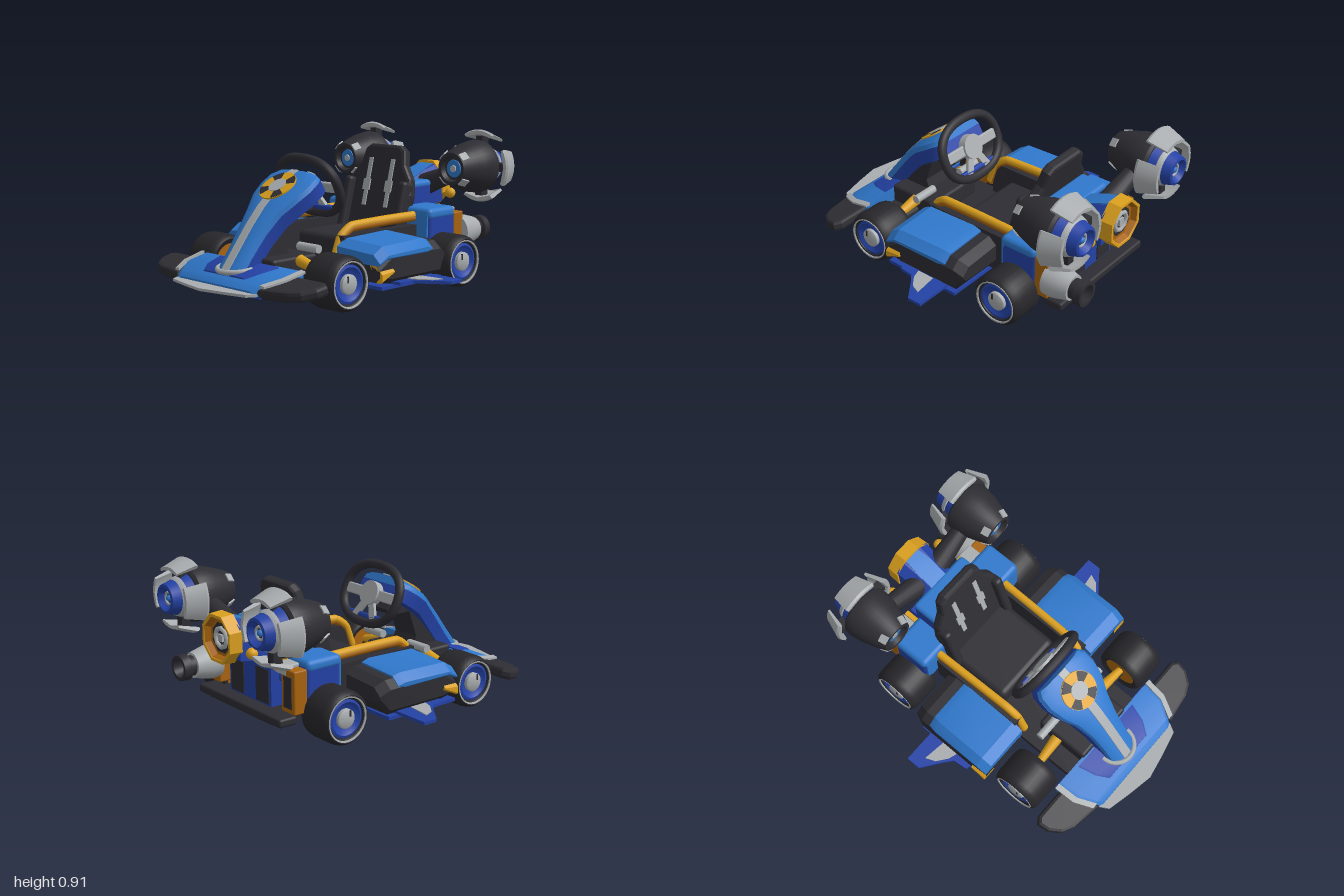
import * as THREE from 'three';
import { toCreasedNormals } from 'three/addons/utils/BufferGeometryUtils.js';
import { RoundedBoxGeometry } from 'three/addons/geometries/RoundedBoxGeometry.js';

const paint = (name, color) => { const m = new THREE.MeshStandardMaterial({ color }); m.name = name; return m; };
const BLUE = paint('bright blue', 0x2f78cc), DEEP = paint('deep blue', 0x2442a6), GOLD = paint('gold', 0xdca01e),
  ORANGE = paint('burnt orange', 0xa8640f), SILVER = paint('silver', 0xa9adaf), DARK = paint('charcoal', 0x2d2d33), TYRE = paint('tyre black', 0x27272b);

// Mirror a geometry across x = 0, keeping its faces outward
function mirrored(geo) {
  const g = geo.index ? geo.toNonIndexed() : geo.clone();
  for (const key of ['position', 'normal']) {
    const a = g.attributes[key];
    for (let i = 0; i < a.count; i += 3) {
      const p = [a.getX(i), a.getY(i), a.getZ(i)];
      a.setXYZ(i, a.getX(i + 2), a.getY(i + 2), a.getZ(i + 2));
      a.setXYZ(i + 2, ...p);
    }
  }
  return g.scale(-1, 1, 1);
}
// Skin closed rings, counterclockwise as seen from the last ring
function loft(rings, crease = 0.6) {
  const n = rings[0].length, pos = rings.flat(), idx = [], last = (rings.length - 1) * n;
  for (let i = 0; i < rings.length - 1; i++) for (let j = 0; j < n; j++) {
    const a = i * n + j, b = i * n + (j + 1) % n;
    idx.push(a, b, a + n, b, b + n, a + n);
  }
  const mid = r => [0, 1, 2].map(k => r.reduce((s, p) => s + p[k], 0) / n);
  pos.push(mid(rings[0]), mid(rings[rings.length - 1]));
  for (let j = 0; j < n; j++) {
    const k = (j + 1) % n;
    idx.push(pos.length - 2, k, j, pos.length - 1, last + j, last + k);
  }
  const g = new THREE.BufferGeometry();
  g.setAttribute('position', new THREE.Float32BufferAttribute(pos.flat(), 3));
  g.setIndex(idx);
  g.computeVertexNormals();
  return toCreasedNormals(g, crease);
}
const extrude = (pts, depth, bevel = 0) => new THREE.ExtrudeGeometry(new THREE.Shape(pts.map(p => new THREE.Vector2(...p))), {
  depth, bevelEnabled: bevel > 0, bevelSize: bevel, bevelThickness: bevel, bevelOffset: -bevel, bevelSegments: 2 });
// Flat plate from [x, z] points
const plate = (pts, top, h, bevel = 0) => extrude(pts, h - 2 * bevel, bevel).rotateX(Math.PI / 2).translate(0, top - bevel, 0);
// Centred slab from a [z, y] side profile
const slab = (pts, w) => extrude(pts, w).rotateY(-Math.PI / 2).translate(w / 2, 0, 0);
const box = (w, h, d, x, y, z, r = 0) => (r ? new RoundedBoxGeometry(w, h, d, 3, r) : new THREE.BoxGeometry(w, h, d)).translate(x, y, z);
const lathe = (pts, seg = 32) => toCreasedNormals(new THREE.LatheGeometry(pts.map(p => new THREE.Vector2(...p)), seg), 0.7);
const tube = (pts, r) => new THREE.TubeGeometry(new THREE.CatmullRomCurve3(pts.map(p => new THREE.Vector3(...p)), false, 'catmullrom', 0.15), 30, r, 10);
// Tapered rod between two points
function rod(a, b, r0, r1 = r0) {
  const A = new THREE.Vector3(...a), B = new THREE.Vector3(...b), d = B.clone().sub(A);
  const q = new THREE.Quaternion().setFromUnitVectors(new THREE.Vector3(0, 1, 0), d.clone().normalize());
  return new THREE.CylinderGeometry(r1, r0, d.length(), 16).applyQuaternion(q).translate(...A.add(B).multiplyScalar(0.5).toArray());
}

export function createModel() {
  const root = new THREE.Group();
  root.name = 'kart';
  const add = (name, geo, mat, parent = root) => { const m = new THREE.Mesh(geo, mat); m.name = name; parent.add(m); };
  const pair = (name, geo, mat) => { add(name + 'Left', geo, mat); add(name + 'Right', mirrored(geo), mat); };

  // Floor and tub
  add('floorPan', box(0.62, 0.05, 1.44, 0, 0.125, -0.08), DARK);
  add('rearBumper', box(0.8, 0.05, 0.12, 0, 0.135, -0.76, 0.015), DARK);
  add('footwell', box(0.4, 0.12, 0.34, 0, 0.2, 0.46, 0.02), DARK);
  pair('tubWall', box(0.06, 0.24, 0.62, 0.3, 0.24, -0.1), DARK);
  pair('floorHatch', box(0.12, 0.008, 0.1, 0.14, 0.099, -0.47), DEEP);

  // Wheels
  const spin = (pts, z) => lathe(pts).rotateZ(-Math.PI / 2).translate(0.495, 0.157, z);
  for (const [end, z] of [['front', 0.44], ['rear', -0.52]]) {
    pair(end + 'Tyre', spin([[0.1, -0.1], [0.135, -0.116], [0.15, -0.1], [0.156, -0.07], [0.156, 0.07], [0.15, 0.1], [0.135, 0.116], [0.114, 0.106], [0.104, 0.08]], z), TYRE);
    pair(end + 'RimRing', spin([[0.13, 0.108], [0.13, 0.118], [0.122, 0.116], [0.12, 0.1]], z), SILVER);
    pair(end + 'Rim', spin([[0.11, -0.05], [0.11, 0.1], [0.095, 0.105], [0.07, 0.085], [0, 0.085]], z), DEEP);
    pair(end + 'Hub', spin([[0.056, 0.08], [0.056, 0.105], [0.045, 0.112], [0, 0.112]], z), SILVER);
    pair(end + 'HubNotch', box(0.006, 0.035, 0.01, 0.607, 0.187, z + 0.02), DARK);
    pair(end + 'InnerRim', spin([[0, -0.102], [0.11, -0.102], [0.11, -0.05]], z), ORANGE);
    add(end + 'Axle', rod([-0.45, 0.157, z], [0.45, 0.157, z], 0.025), DARK);
  }
  // Front suspension
  pair('frontArm', rod([0.2, 0.235, 0.43], [0.4, 0.19, 0.44], 0.035, 0.022), GOLD);
  pair('damper', rod([0.12, 0.3, 0.36], [0.28, 0.3, 0.36], 0.025), SILVER);

  // Side pods with painted lids, gold corners and low wings
  const podRing = (x0, x1, y0, y1, z, s = 0.03) => [[x0, y0, z], [x1 - s, y0, z], [x1, y0 + s, z], [x1, y1 - 0.06, z], [x1 - 0.05, y1 - 0.015, z], [x0, y1, z]];
  pair('podBody', loft([podRing(0.34, 0.63, 0.2, 0.3, -0.31), podRing(0.33, 0.65, 0.125, 0.335, -0.25),
    podRing(0.33, 0.65, 0.125, 0.335, 0.15), podRing(0.33, 0.645, 0.14, 0.27, 0.25)], 0.4), DARK);
  pair('podLid', loft([podRing(0.32, 0.645, 0.27, 0.345, -0.19, 0.01), podRing(0.32, 0.656, 0.265, 0.36, -0.14, 0.01),
    podRing(0.32, 0.656, 0.265, 0.35, 0.19, 0.01), podRing(0.32, 0.65, 0.235, 0.31, 0.256, 0.01)], 0.4), BLUE);
  pair('podCorner', loft([podRing(0.6, 0.664, 0.185, 0.26, 0.15, 0.01), podRing(0.57, 0.664, 0.14, 0.25, 0.25, 0.01)]), GOLD);
  pair('podUnderplate', plate([[0.31, -0.26], [0.65, -0.26], [0.65, 0.24], [0.31, 0.24]], 0.12, 0.02), DEEP);
  pair('sideWing', plate([[0.6, -0.19], [0.86, -0.19], [0.86, -0.1], [0.75, -0.02], [0.69, 0.03], [0.68, 0.12], [0.6, 0.14]], 0.135, 0.018), DEEP);
  pair('wingPanel', plate([[0.64, -0.09], [0.79, -0.11], [0.765, -0.05], [0.7, 0.0], [0.64, 0.02]], 0.14, 0.006), SILVER);

  // Gold frame rails with a darker underside
  const rail = [[0.275, 0.22, 0.235], [0.28, 0.35, 0.19], [0.288, 0.408, 0.11], [0.295, 0.415, -0.2], [0.3, 0.415, -0.44]];
  pair('frameRail', tube(rail, 0.024), GOLD);
  pair('railUnderside', tube(rail.map(([x, y, z]) => [x + 0.003, y - 0.016, z]), 0.022), ORANGE);

  // Front spoiler
  const deck = (z, w, top) => [[-w, 0.115, z], [w, 0.115, z], [w, top - 0.02, z], [w - 0.04, top, z], [0.04 - w, top, z], [-w, top - 0.02, z]];
  add('spoilerDeck', loft([deck(0.62, 0.43, 0.23), deck(0.75, 0.42, 0.205), deck(0.85, 0.37, 0.165), deck(0.885, 0.33, 0.14)]), BLUE);
  add('spoilerInset', loft([deck(0.64, 0.28, 0.234), deck(0.75, 0.25, 0.212), deck(0.82, 0.2, 0.185)]), DEEP);
  add('spoilerUnderplate', plate([[-0.42, 0.6], [0.42, 0.6], [0.36, 0.87], [-0.36, 0.87]], 0.115, 0.012), DEEP);
  pair('spoilerEnd', plate([[0.38, 0.64], [0.63, 0.64], [0.67, 0.67], [0.66, 0.74], [0.61, 0.81], [0.54, 0.845], [0.34, 0.875]], 0.185, 0.065, 0.02)
    .translate(0, -0.15, -0.75).rotateX(0.22).translate(0, 0.15, 0.75), DARK);
  pair('spoilerTrim', loft([[0.62, 0.43, 0.22], [0.75, 0.42, 0.19], [0.86, 0.365, 0.16]].map(([z, x, y]) =>
    [[x - 0.02, y, z], [x + 0.015, y, z], [x + 0.015, y + 0.012, z], [x - 0.02, y + 0.018, z]])), SILVER);
  add('frontLip', plate([[-0.35, 0.86], [0.35, 0.86], [0.31, 0.93], [0.16, 0.965], [0, 0.995], [-0.16, 0.965], [-0.31, 0.93]], 0.13, 0.015), SILVER);

  // Nose fairing with a deep skirt: top line z, y and half width
  const line = [[0.275, 0.715, 0.175], [0.31, 0.7, 0.2], [0.38, 0.655, 0.205], [0.46, 0.6, 0.185], [0.54, 0.53, 0.14], [0.63, 0.43, 0.112], [0.72, 0.315, 0.1], [0.79, 0.225, 0.1], [0.825, 0.18, 0.085]];
  const half = [[1, 0.4], [0.93, 0.18], [0.7, 0.05], [0.35, 0]];
  const shell = ring => loft(line.map(([z, y, w]) => ring.map(([u, d]) => [u * w, y - d * 0.11, z - d * 0.075])));
  add('noseFairing', shell([...half, ...half.slice().reverse().map(([u, d]) => [-u, d])]), BLUE);
  add('noseSkirt', shell([[0.97, 1], [1, 0.38], [-1, 0.38], [-0.97, 1]]), DEEP);
  add('noseStripe', loft(line.map(([z, y]) => [[0.028, 0], [0.028, 0.005], [-0.028, 0.005], [-0.028, 0]].map(([x, o]) => [x, y + o, z + o * 0.8]))), SILVER);
  add('noseCore', slab([[0.2, 0.53], [0.28, 0.63], [0.46, 0.53], [0.62, 0.36], [0.74, 0.2], [0.4, 0.22], [0.44, 0.32], [0.38, 0.49], [0.24, 0.49]], 0.19), DARK);
  add('noseCollar', new THREE.TorusGeometry(0.115, 0.015, 8, 20, Math.PI).rotateX(Math.PI / 2 + 0.12).translate(0, 0.21, 0.715), SILVER);
  // Round nose badge in plain wedges
  const badge = new THREE.Group();
  badge.name = 'noseBadge';
  badge.position.set(0, 0.638, 0.413);
  badge.rotation.x = 0.6;
  root.add(badge);
  add('badgeBase', new THREE.CylinderGeometry(0.115, 0.115, 0.009, 32), GOLD, badge);
  for (let i = 0; i < 4; i++) add('badgeWedge', new THREE.CylinderGeometry(0.112, 0.112, 0.007, 8, 1, false, i * Math.PI / 2 + 0.3, 0.7).translate(0, 0.003, 0), DARK, badge);
  add('badgeCentre', new THREE.CylinderGeometry(0.055, 0.055, 0.009, 24).translate(0, 0.004, 0), SILVER, badge);

  // Steering wheel
  const place = g => g.rotateX(0.4).translate(0, 0.62, 0.16);
  const oval = Array.from({ length: 20 }, (_, i) => {
    const a = i * Math.PI / 10, p = v => Math.sign(v) * Math.abs(v) ** 0.85;
    return new THREE.Vector3(0.235 * p(Math.cos(a)), 0.178 * p(Math.sin(a)), 0);
  });
  add('steeringRim', place(new THREE.TubeGeometry(new THREE.CatmullRomCurve3(oval, true), 60, 0.028, 10, true)), DARK);
  add('steeringSpokes', place(box(0.44, 0.065, 0.024, 0, 0, 0, 0.01)), SILVER);
  pair('lowerSpoke', place(box(0.045, 0.17, 0.02, 0, -0.09, 0).rotateZ(0.5)), SILVER);
  add('steeringHub', place(new THREE.CylinderGeometry(0.075, 0.075, 0.05, 24).rotateX(Math.PI / 2)), SILVER);
  add('steeringBrace', place(box(0.3, 0.03, 0.03, 0, -0.135, 0.005, 0.01)), DEEP);
  add('steeringColumn', rod([0, 0.62, 0.16], [0, 0.53, 0.4], 0.045), DARK);
  add('dashboard', box(0.26, 0.07, 0.07, 0, 0.62, 0.265, 0.02), DEEP);

  // Seat with harness
  const recline = g => g.rotateX(-0.25).translate(0, 0.36, -0.42);
  add('seatCushion', box(0.48, 0.16, 0.46, 0, 0.24, -0.19, 0.04), DARK);
  add('seatBack', recline(extrude([[-0.24, -0.1], [0.24, -0.1], [0.26, 0.16], [0.24, 0.26], [0.18, 0.34], [0.16, 0.43], [0.12, 0.46], [-0.12, 0.46], [-0.16, 0.43], [-0.18, 0.34], [-0.24, 0.26], [-0.26, 0.16]], 0.03, 0.02)), DARK);
  pair('seatBolster', recline(box(0.06, 0.36, 0.1, 0.225, 0.06, 0.05, 0.025)), DARK);
  pair('harnessStrap', recline(box(0.03, 0.3, 0.008, 0.09, 0.22, 0.053)), SILVER);
  pair('harnessBuckle', recline(box(0.055, 0.07, 0.009, 0.09, 0.2, 0.057)), SILVER);

  // Rear bodywork: deep sides under bright caps
  add('rearBody', box(0.85, 0.22, 0.24, 0, 0.33, -0.535, 0.03), DEEP);
  add('rearBodyCap', box(0.86, 0.07, 0.24, 0, 0.428, -0.53, 0.03), BLUE);
  add('rearBodyFront', box(0.82, 0.2, 0.01, 0, 0.33, -0.412), BLUE);
  add('engineCover', box(0.43, 0.3, 0.18, 0, 0.44, -0.59, 0.03), DEEP);
  add('engineCap', box(0.43, 0.05, 0.18, 0, 0.576, -0.588, 0.024), BLUE);
  add('rearCore', box(0.4, 0.26, 0.12, 0, 0.29, -0.67), DEEP);
  pair('rearRecess', box(0.12, 0.2, 0.008, 0.12, 0.27, -0.732), DARK);
  pair('rearPanel', box(0.12, 0.25, 0.09, 0.36, 0.295, -0.69, 0.01), ORANGE);
  pair('panelRecess', box(0.07, 0.18, 0.008, 0.36, 0.29, -0.734), DARK);
  pair('rearBracket', box(0.1, 0.06, 0.1, 0.3, 0.41, -0.69, 0.01), SILVER);
  pair('bracketTab', box(0.03, 0.06, 0.08, 0.235, 0.415, -0.69), GOLD);
  const trunk = (z, w, y0, y1) => [[-w, y0, z], [w, y0, z], [w, y1 - 0.05, z], [w * 0.55, y1, z], [-w * 0.55, y1, z], [-w, y1 - 0.05, z]];
  add('thrusterTrunk', loft([trunk(-0.88, 0.13, 0.44, 0.67), trunk(-0.78, 0.12, 0.42, 0.64), trunk(-0.64, 0.11, 0.4, 0.58)], 0.3), DEEP);
  add('trunkPanel', loft([[-0.88, 0.05, 0.67], [-0.78, 0.062, 0.64], [-0.66, 0.06, 0.588]].map(([z, w, y]) => [[-w, y, z], [w, y, z], [w, y + 0.006, z], [-w, y + 0.006, z]])), BLUE);

  // Octagonal centre nozzle
  const facing = (pts, seg = 32) => lathe(pts, seg).rotateX(Math.PI / 2);
  const octagon = pts => facing(pts, 8).rotateZ(Math.PI / 8).translate(0, 0.55, 0);
  add('centreNozzle', octagon([[0.124, -0.945], [0.128, -0.95], [0.145, -0.95], [0.15, -0.87], [0, -0.87]]), GOLD);
  add('nozzleLining', octagon([[0.09, -0.915], [0.108, -0.915], [0.124, -0.947]]), ORANGE);
  add('nozzleFace', octagon([[0, -0.912], [0.1, -0.912], [0.1, -0.89]]), DARK);
  add('nozzleCore', new THREE.TorusGeometry(0.055, 0.014, 8, 8).translate(0, 0.55, -0.915), SILVER);
  add('nozzleHub', box(0.04, 0.04, 0.02, 0, 0.55, -0.915), SILVER);
  pair('nozzleBolt', new THREE.SphereGeometry(0.033, 14, 10).translate(0.21, 0.5, -0.86), GOLD);

  // Twin turbines with four flared fins each
  const turbine = (name, g, mat) => pair(name, g.translate(0.445, 0.69, 0), mat);
  pair('turbineStrut', rod([0.08, 0.55, -0.76], [0.36, 0.66, -0.77], 0.07, 0.05), DARK);
  turbine('turbineShell', facing([[0, -0.86], [0.14, -0.86], [0.157, -0.845], [0.162, -0.81], [0.15, -0.73], [0.122, -0.64], [0.098, -0.58], [0.078, -0.58], [0.068, -0.61], [0, -0.61]]), DARK);
  turbine('intakeDisc', facing([[0.055, -0.612], [0.052, -0.604], [0, -0.604]]), BLUE);
  turbine('intakeCentre', facing([[0.022, -0.606], [0.02, -0.597], [0, -0.597]]), SILVER);
  turbine('turbineTail', facing([[0.045, -0.96], [0.07, -1], [0.085, -0.995], [0.1, -0.94], [0.135, -0.85]]), DEEP);
  turbine('tailDisc', facing([[0, -0.965], [0.06, -0.965], [0.06, -0.95]]), DARK);
  turbine('tailRing', new THREE.TorusGeometry(0.035, 0.008, 8, 24).translate(0, 0, -0.968), SILVER);
  turbine('tailCentre', new THREE.SphereGeometry(0.02, 12, 8).translate(0, 0, -0.965), BLUE);
  turbine('tailBand', facing([[0.102, -0.94], [0.108, -0.935], [0.118, -0.91], [0.112, -0.905]]), SILVER);
  const arc = (r, z, dir) => Array.from({ length: 9 }, (_, i) => {
    const a = dir * (i / 8 - 0.5) * 1.04;
    return [r * Math.cos(a), r * Math.sin(a), z];
  });
  const fin = () => loft([[-0.965, 0.165, 0.18], [-0.85, 0.195, 0.222], [-0.835, 0.2, 0.215]].map(([z, r0, r1]) => [...arc(r1, z, 1), ...arc(r0, z, -1)]));
  for (let i = 0; i < 4; i++) {
    turbine('turbineFin', fin().rotateZ(i * Math.PI / 2), SILVER);
    turbine('finBracket', box(0.08, 0.05, 0.06, 0.142, 0, -0.875).rotateZ(i * Math.PI / 2), DARK);
    turbine('intakeTab', box(0.012, 0.05, 0.05, 0, 0, 0).rotateY(-0.38).translate(0.109, 0, -0.607).rotateZ((i + 0.5) * Math.PI / 2), SILVER);
  }
  // Single side exhaust
  const pipe = pts => facing(pts, 24).translate(0.37, 0.29, 0);
  add('exhaustCan', pipe([[0, -0.88], [0.075, -0.88], [0.1, -0.78], [0.1, -0.72], [0, -0.72]]), SILVER);
  add('exhaustTip', pipe([[0, -0.9], [0.05, -0.9], [0.055, -0.97], [0.075, -0.97], [0.078, -0.92], [0.06, -0.91], [0.06, -0.87]]), DARK);
  return root;
}
